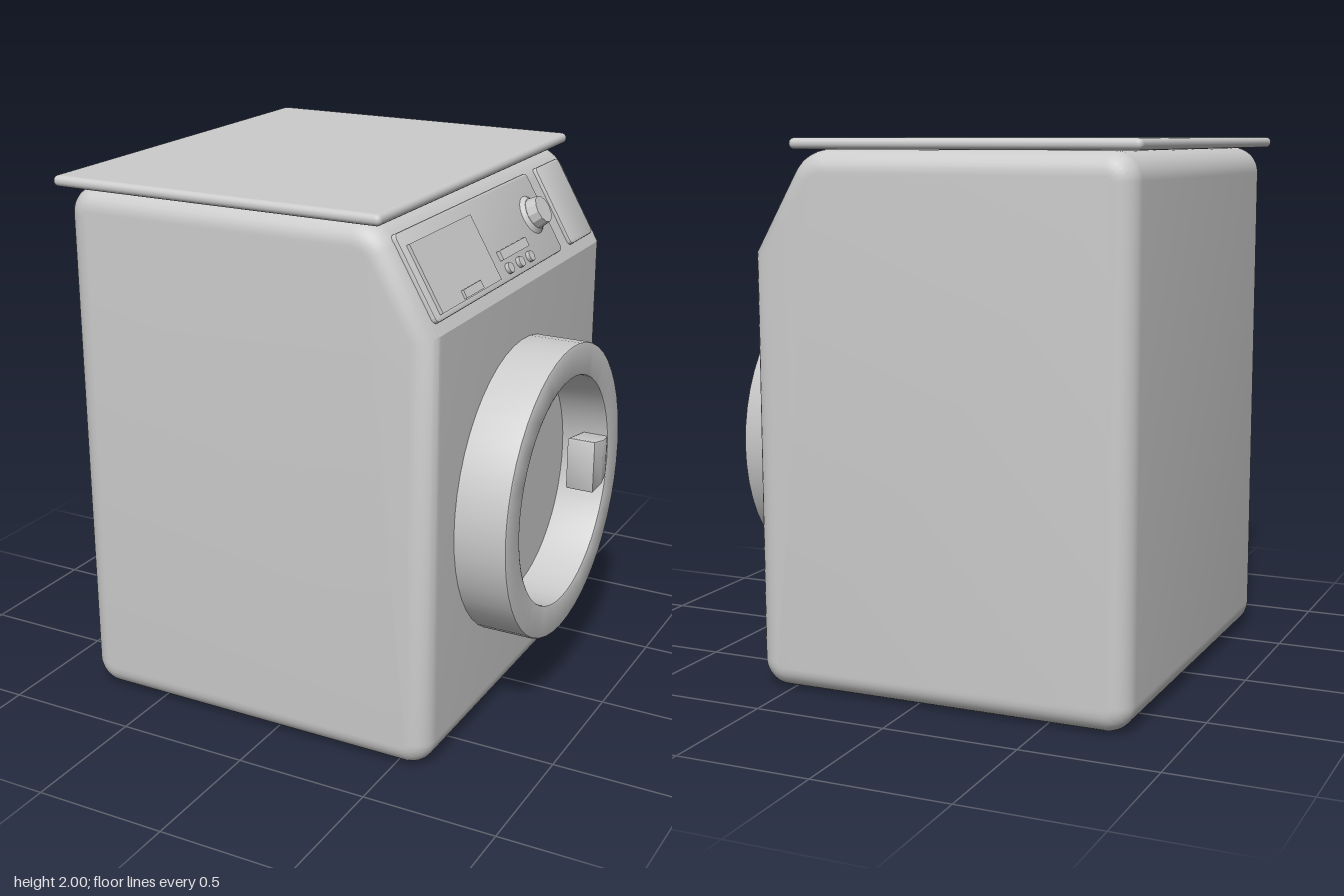
import * as THREE from 'three';
import { toCreasedNormals } from 'three/addons/utils/BufferGeometryUtils.js';
import { RoundedBoxGeometry } from 'three/addons/geometries/RoundedBoxGeometry.js';

const grey = new THREE.MeshStandardMaterial({ color: 0xcccccc });

function add(parent, name, geometry, x = 0, y = 0, z = 0) {
  const mesh = new THREE.Mesh(geometry, grey);
  mesh.name = name;
  mesh.position.set(x, y, z);
  parent.add(mesh);
  return mesh;
}

// Extrusion whose bevel stays inside the drawn outline
function extrude(shape, depth, bevel, segments) {
  const geometry = new THREE.ExtrudeGeometry(shape, {
    depth: depth - 2 * bevel, bevelThickness: bevel, bevelSize: bevel,
    bevelOffset: -bevel, bevelSegments: segments, curveSegments: 8,
  });
  geometry.translate(0, 0, bevel);
  return toCreasedNormals(geometry, 0.5);
}

function roundedRect(w, h, r) {
  const s = new THREE.Shape();
  const x = w / 2 - r, y = h / 2 - r, q = Math.PI / 2;
  s.moveTo(-x, -h / 2);
  s.absarc(x, -y, r, -q, 0);
  s.absarc(x, y, r, 0, q);
  s.absarc(-x, y, r, q, 2 * q);
  s.absarc(-x, -y, r, 2 * q, 3 * q);
  return s;
}

// Cabinet: side profile with a sloped control face
function addCabinet(parent) {
  const s = new THREE.Shape();
  const q = Math.PI / 2;
  s.moveTo(-0.71, 0);
  s.absarc(0.53, 0.1, 0.1, -q, 0);
  s.lineTo(0.63, 1.6);
  s.absarc(0.336, 1.81, 0.15, q / 3, q);
  s.absarc(-0.71, 1.86, 0.1, q, 2 * q);
  s.absarc(-0.71, 0.1, 0.1, 2 * q, 3 * q);
  add(parent, 'cabinet', extrude(s, 1.555, 0.08, 8), 0, 0, -0.78);
  add(parent, 'worktop', new RoundedBoxGeometry(1.295, 0.04, 1.6, 4, 0.0195), -0.1925, 1.98, 0);
}

// Controls, laid out flat and then tilted onto the sloped face
function addControls(parent) {
  const panel = new THREE.Group();
  panel.name = 'controls';
  const c = Math.cos(Math.PI / 6);
  panel.applyMatrix4(new THREE.Matrix4().makeBasis(
    new THREE.Vector3(0, 0, -1),
    new THREE.Vector3(-0.5, c, 0),
    new THREE.Vector3(c, 0.5, 0),
  ).setPosition(0.526, 1.78, 0));
  parent.add(panel);

  add(panel, 'controlPlate', extrude(roundedRect(1.08, 0.32, 0.02), 0.035, 0.006, 2), -0.17, -0.005, -0.02);
  add(panel, 'servicePlate', extrude(roundedRect(0.225, 0.32, 0.02), 0.035, 0.006, 2), 0.573, -0.005, -0.02);
  add(panel, 'detergentDrawer', new THREE.BoxGeometry(0.47, 0.25, 0.03), -0.437, -0.02, 0.012);
  add(panel, 'drawerGrip', new THREE.BoxGeometry(0.14, 0.03, 0.014), -0.43, -0.125, 0.03);
  add(panel, 'display', new THREE.BoxGeometry(0.23, 0.035, 0.03), -0.013, -0.072, 0.014);

  for (const u of [-0.1, -0.005, 0.085]) {
    const button = add(panel, 'button', new THREE.CylinderGeometry(0.02, 0.02, 0.03, 12), u, -0.125, 0.015);
    button.rotation.x = Math.PI / 2;
  }

  const base = add(panel, 'dialBase', new THREE.CylinderGeometry(0.06, 0.075, 0.015, 24), 0.255, 0.005, 0.022);
  const dial = add(panel, 'dial', toCreasedNormals(new THREE.CylinderGeometry(0.052, 0.06, 0.05, 12), 0.3), 0.255, 0.005, 0.045);
  base.rotation.x = dial.rotation.x = Math.PI / 2;
}

// Round door: ring, recessed pane and tapered handle
function addDoor(parent) {
  const door = new THREE.Group();
  door.name = 'door';
  parent.add(door);

  const profile = [
    [0.555, 0], [0.555, 0.194], [0.552, 0.202], [0.544, 0.205],
    [0.441, 0.205], [0.433, 0.202], [0.43, 0.194], [0.43, 0],
  ].map(([r, h]) => new THREE.Vector2(r, h));
  const ring = add(door, 'doorRing', toCreasedNormals(new THREE.LatheGeometry(profile, 48), 0.6), 0.62, 0.845, 0.02);
  const pane = add(door, 'doorPane', new THREE.CylinderGeometry(0.435, 0.435, 0.015, 48), 0.63, 0.845, 0.02);
  ring.rotation.z = pane.rotation.z = -Math.PI / 2;

  // Handle outline runs from its free end to inside the ring (length, thickness)
  const s = new THREE.Shape([
    [0, 0], [0.18, 0], [0.18, 0.095], [0.13, 0.11], [0.07, 0.118], [0, 0.108],
  ].map(([x, y]) => new THREE.Vector2(x, y)));
  const handle = extrude(s, 0.21, 0.008, 2);
  handle.translate(0, 0, -0.105);
  const p = handle.attributes.position;
  for (let i = 0; i < p.count; i++) p.setZ(i, p.getZ(i) * (1 - 1.7 * p.getX(i)));
  // length -> -z, thickness -> +x, width -> -y
  handle.applyMatrix4(new THREE.Matrix4().makeBasis(
    new THREE.Vector3(0, 0, -1),
    new THREE.Vector3(1, 0, 0),
    new THREE.Vector3(0, -1, 0),
  ));
  add(door, 'doorHandle', toCreasedNormals(handle, 0.5), 0.72, 0.84, -0.25);
}

export function createModel() {
  const model = new THREE.Group();
  model.name = 'washingMachine';
  addCabinet(model);
  addControls(model);
  addDoor(model);
  return model;
}
